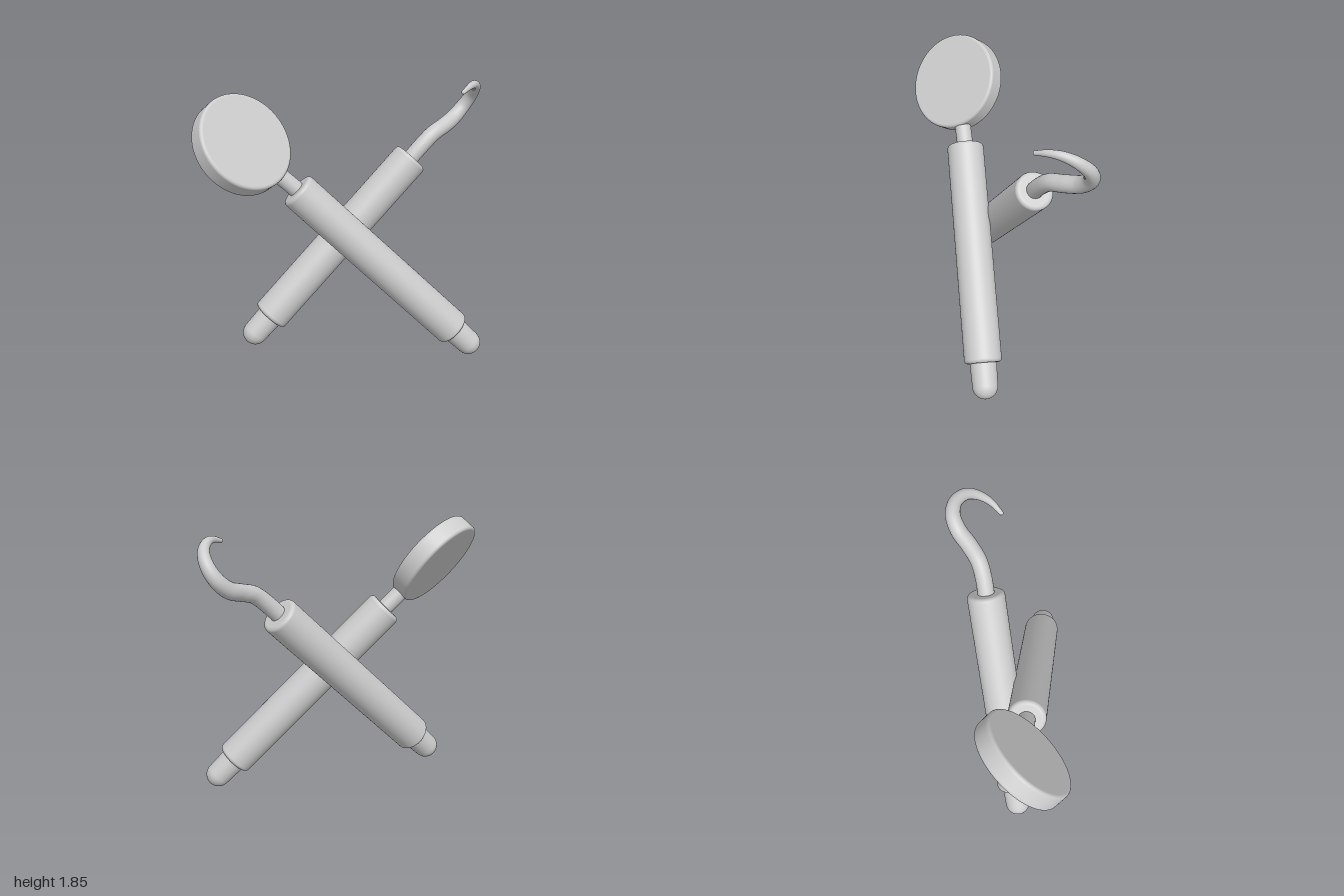
import * as THREE from 'three';

const material = new THREE.MeshStandardMaterial({ color: 0xcccccc });
const UP = new THREE.Vector3(0, 1, 0);

function addMesh(parent, name, geometry) {
  const mesh = new THREE.Mesh(geometry, material);
  mesh.name = name;
  parent.add(mesh);
  return mesh;
}

// Solid cylinder from y0 to y1 with filleted rims
function roundedCylinder(r, y0, y1, fillet, segments = 64) {
  const points = [new THREE.Vector2(0, y0), new THREE.Vector2(r - fillet * 1.2, y0)];
  const steps = 6;
  for (let i = 0; i <= steps; i++) {
    const a = -Math.PI / 2 + (i / steps) * (Math.PI / 2);
    points.push(new THREE.Vector2(r - fillet + fillet * Math.cos(a), y0 + fillet + fillet * Math.sin(a)));
  }
  for (let i = 0; i <= steps; i++) {
    const a = (i / steps) * (Math.PI / 2);
    points.push(new THREE.Vector2(r - fillet + fillet * Math.cos(a), y1 - fillet + fillet * Math.sin(a)));
  }
  points.push(new THREE.Vector2(r - fillet * 1.2, y1), new THREE.Vector2(0, y1));
  return new THREE.LatheGeometry(points, segments);
}

// Domed butt end: hemisphere at the origin, widening slightly up to the handle
function domedTip(r, baseRadius, length) {
  const points = [];
  for (let i = 0; i <= 12; i++) {
    const a = (i / 12) * (Math.PI / 2);
    points.push(new THREE.Vector2(r * Math.sin(a), -r * Math.cos(a)));
  }
  points.push(new THREE.Vector2(baseRadius, length));
  return new THREE.LatheGeometry(points, 48);
}

// Handle and butt end, standing at "tip" and pointing towards "top"
function createHandle(name, tip, top) {
  const group = new THREE.Group();
  group.name = name;
  const axis = top.clone().sub(tip);
  const length = axis.length();
  group.position.copy(tip);
  group.quaternion.setFromUnitVectors(UP, axis.normalize());
  addMesh(group, 'handleGrip', roundedCylinder(0.125, 0.15, length + 0.01, 0.025));
  addMesh(group, 'handleTip', domedTip(0.085, 0.091, 0.2));
  return group;
}

// Tube along a curve whose radius follows radiusAt(t)
function taperedTube(curve, radiusAt, rings, sides) {
  const geometry = new THREE.TubeGeometry(curve, rings, 1, sides, false);
  const position = geometry.attributes.position;
  const v = new THREE.Vector3();
  for (let i = 0; i <= rings; i++) {
    const centre = curve.getPointAt(i / rings);
    for (let j = 0; j <= sides; j++) {
      const k = i * (sides + 1) + j;
      v.fromBufferAttribute(position, k).sub(centre).multiplyScalar(radiusAt(i / rings)).add(centre);
      position.setXYZ(k, v.x, v.y, v.z);
    }
  }
  return geometry;
}

export function createModel() {
  const model = new THREE.Group();
  model.name = 'crossedHandTools';

  // Mirror tool
  const mirrorTop = new THREE.Vector3(-0.38, 1.23, -0.17);
  const mirrorTool = new THREE.Group();
  mirrorTool.name = 'mirrorTool';
  mirrorTool.add(createHandle('mirrorHandle', new THREE.Vector3(0.57, 0.085, 0.51), mirrorTop));

  const discCentre = new THREE.Vector3(-0.67, 1.55, -0.355);
  const disc = addMesh(mirrorTool, 'mirrorDisc', roundedCylinder(0.33, -0.066, 0.066, 0.02, 96));
  disc.position.copy(discCentre);
  disc.quaternion.setFromUnitVectors(UP, new THREE.Vector3(0.1, 0.56, 0.82).normalize());

  const stemStart = mirrorTop.clone().lerp(discCentre, -0.1);
  const stemEnd = mirrorTop.clone().lerp(discCentre, 0.5);
  addMesh(mirrorTool, 'mirrorStem',
    new THREE.TubeGeometry(new THREE.LineCurve3(stemStart, stemEnd), 1, 0.055, 32));
  model.add(mirrorTool);

  // Hook tool
  const hookTool = new THREE.Group();
  hookTool.name = 'hookTool';
  hookTool.add(createHandle('hookHandle',
    new THREE.Vector3(-0.625, 0.187, -0.375), new THREE.Vector3(0.455, 1.33, -0.01)));

  const hookCurve = new THREE.CatmullRomCurve3([
    [0.42, 1.295, -0.02], [0.53, 1.415, 0.018], [0.62, 1.487, 0.033], [0.73, 1.525, 0.025],
    [0.84, 1.565, 0.006], [0.92, 1.635, 0.015], [0.948, 1.715, 0.06], [0.92, 1.785, 0.125],
    [0.85, 1.823, 0.18], [0.77, 1.825, 0.22], [0.69, 1.802, 0.243],
  ].map((p) => new THREE.Vector3(...p)));
  const hookRadius = (t) => 0.055 - 0.041 * Math.pow(Math.max(0, (t - 0.4) / 0.6), 1.5);
  addMesh(hookTool, 'hook', taperedTube(hookCurve, hookRadius, 96, 24));
  addMesh(hookTool, 'hookPoint', new THREE.SphereGeometry(hookRadius(1), 20, 14))
    .position.copy(hookCurve.getPointAt(1));
  model.add(hookTool);

  return model;
}
